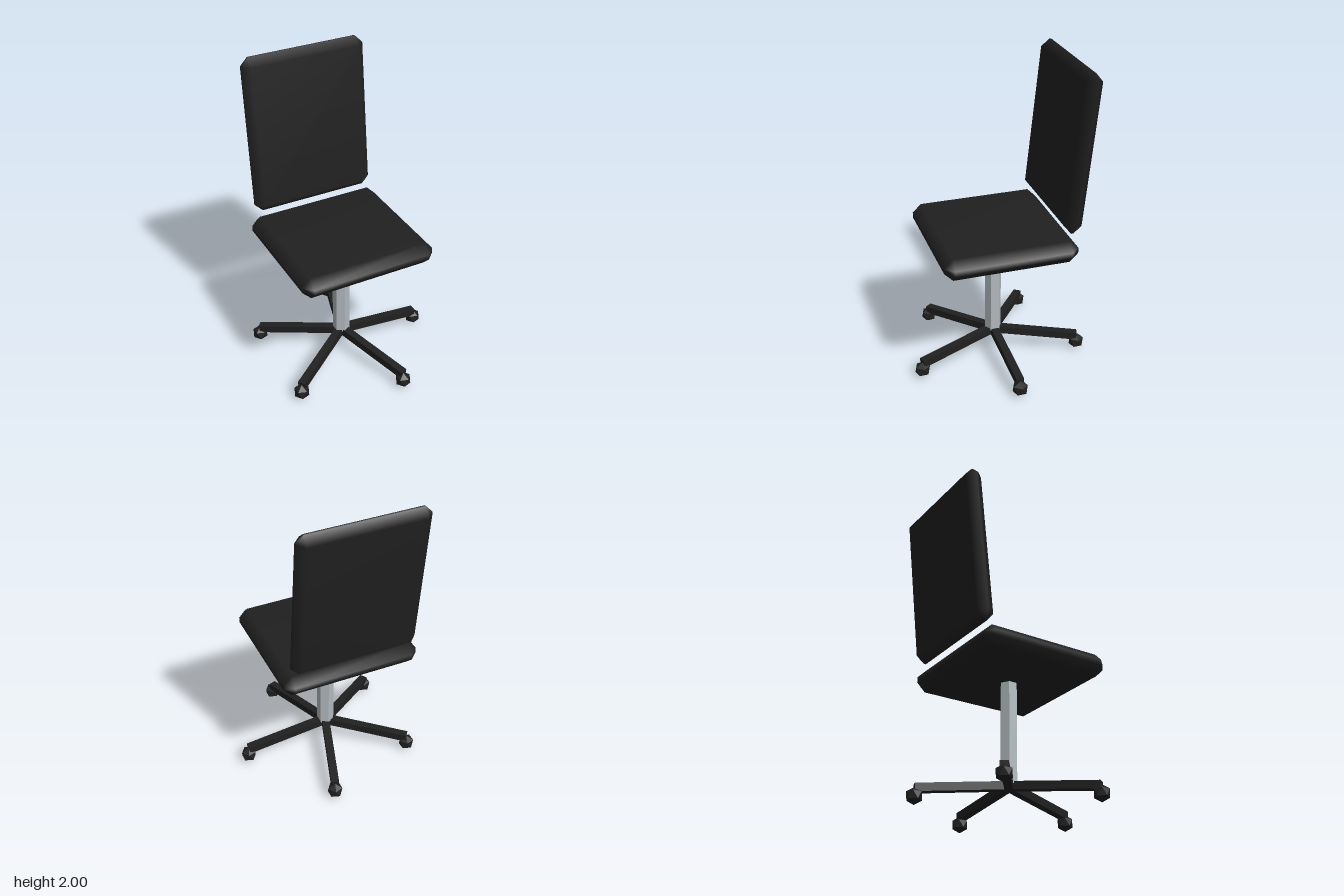
import * as THREE from 'three';
import { ConvexGeometry } from 'three/addons/geometries/ConvexGeometry.js';
import { mergeVertices } from 'three/addons/utils/BufferGeometryUtils.js';

const CENTER_X = -0.054;
const LEG_COUNT = 5;
const LEG_REACH = 0.56;

// Box with every edge cut at 45 degrees and soft, shared normals
function chamferedBox(w, h, d, c) {
  const points = [];
  for (const x of [-w / 2, w / 2]) for (const y of [-h / 2, h / 2]) for (const z of [-d / 2, d / 2]) {
    const corner = new THREE.Vector3(x, y, z);
    const inner = new THREE.Vector3(x - Math.sign(x) * c, y - Math.sign(y) * c, z - Math.sign(z) * c);
    for (const axis of ['x', 'y', 'z']) {
      const p = inner.clone();
      p[axis] = corner[axis];
      points.push(p);
    }
  }
  const geometry = new ConvexGeometry(points);
  geometry.deleteAttribute('normal');
  const merged = mergeVertices(geometry, 1e-4);
  merged.computeVertexNormals();
  return merged;
}

export function createModel() {
  const black = new THREE.MeshStandardMaterial({ name: 'black', color: 0x202020 });
  const metal = new THREE.MeshStandardMaterial({ name: 'metal', color: 0xb2babe });
  const chair = new THREE.Group();
  chair.name = 'officeChair';

  function add(parent, name, geometry, material, x, y, z) {
    const mesh = new THREE.Mesh(geometry, material);
    mesh.name = name;
    mesh.position.set(x, y, z);
    parent.add(mesh);
    return mesh;
  }

  // Cushions
  add(chair, 'seat', chamferedBox(0.892, 0.145, 0.856, 0.055), black, CENTER_X, 0.88, 0);
  const back = add(chair, 'backrest', chamferedBox(0.82, 1.02, 0.112, 0.05), black, CENTER_X, 1.492, -0.447);
  back.rotation.x = -0.103;

  // Hexagonal column
  const post = new THREE.CylinderGeometry(0.055, 0.055, 0.66, 6).toNonIndexed();
  post.computeVertexNormals();
  add(chair, 'post', post, metal, CENTER_X, 0.495, 0);

  // Five sloping legs, each ending on a faceted caster
  const slope = Math.atan2(0.057, LEG_REACH);
  const legGeometry = new THREE.BoxGeometry(Math.hypot(LEG_REACH, 0.057), 0.05, 0.05);
  const casterGeometry = new THREE.IcosahedronGeometry(0.053, 0);
  casterGeometry.rotateZ(-Math.atan(2 / (1 + Math.sqrt(5)))); // a corner points straight down
  for (let i = 0; i < LEG_COUNT; i++) {
    const arm = new THREE.Group();
    arm.name = `legAssembly${i + 1}`;
    arm.position.x = CENTER_X;
    arm.rotation.y = (i / LEG_COUNT) * Math.PI * 2;
    const leg = add(arm, 'leg', legGeometry, black, LEG_REACH / 2, 0.128, 0);
    leg.rotation.z = -slope;
    add(arm, 'caster', casterGeometry, black, LEG_REACH, 0.053, 0);
    chair.add(arm);
  }
  return chair;
}
